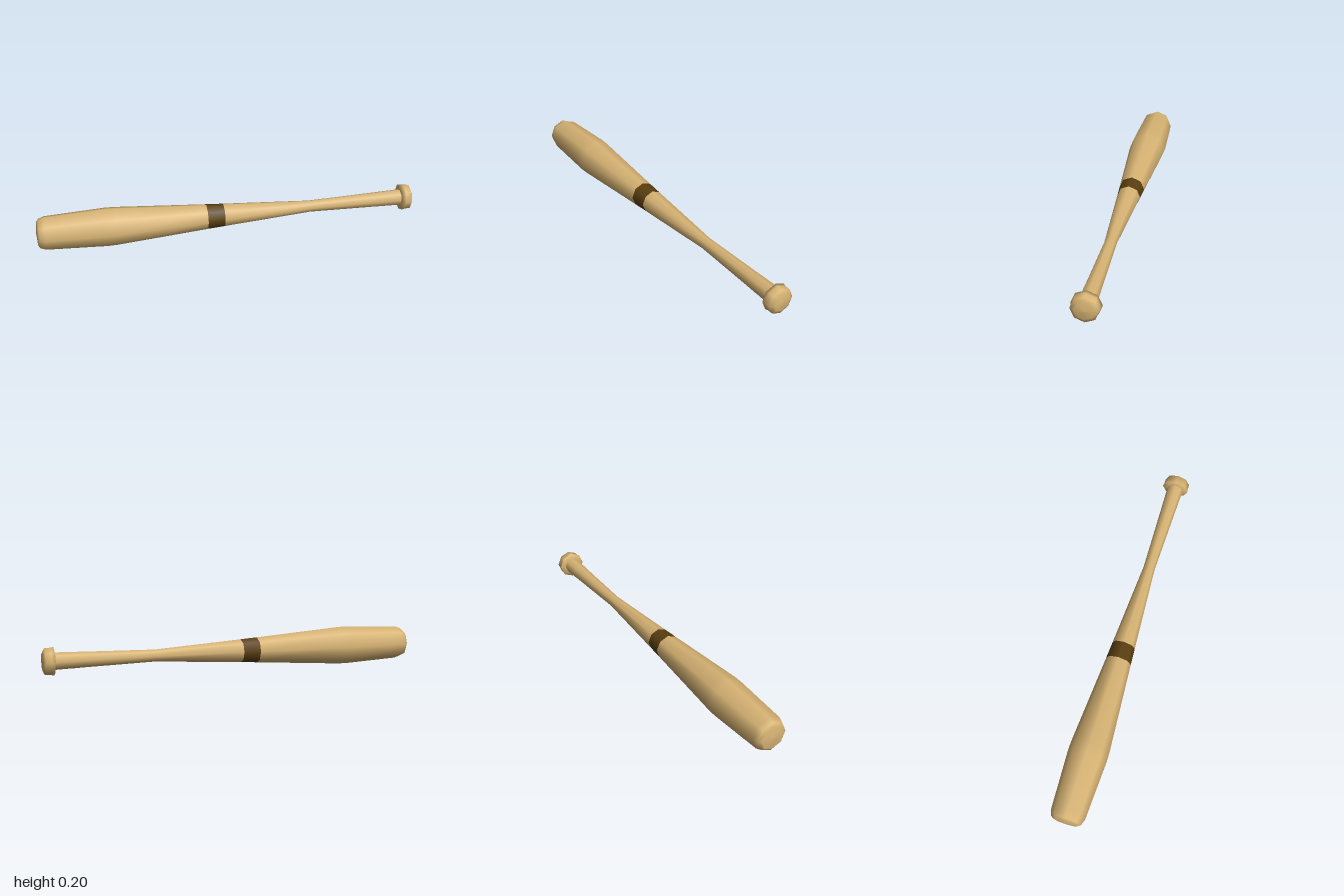
import * as THREE from 'three';

const SIDES = 8;
const AXIS_HEIGHT = 0.102;

const wood = new THREE.MeshStandardMaterial({ color: 0xd8b474 });
wood.name = 'pale wood';
const stain = new THREE.MeshStandardMaterial({ color: 0x5a3f10 });
stain.name = 'dark brown stain';

// Turns a profile of [x, radius] pairs, ordered by rising x, around the long axis
function turned(name, profile, material) {
  const points = profile.map(([x, r]) => new THREE.Vector2(r, x));
  const geometry = new THREE.LatheGeometry(points, SIDES);
  geometry.rotateZ(-Math.PI / 2);
  geometry.translate(0, AXIS_HEIGHT, 0);
  const mesh = new THREE.Mesh(geometry, material);
  mesh.name = name;
  return mesh;
}

export function createModel() {
  const group = new THREE.Group();
  group.name = 'baseballBat';

  // Thick end with its rounded tip, up to the band
  group.add(turned('barrel', [
    [-1, 0], [-0.995, 0.062], [-0.985, 0.077], [-0.955, 0.088],
    [-0.65, 0.102], [-0.6, 0.101], [-0.125, 0.067],
  ], wood));

  // Stained band
  group.add(turned('band', [[-0.125, 0.067], [-0.035, 0.061]], stain));

  // Taper to the narrow waist, then the slightly flared grip
  group.add(turned('handle', [
    [-0.035, 0.061], [0.43, 0.031], [0.81, 0.04], [0.945, 0.044],
  ], wood));

  // Fine collar on the grip
  group.add(turned('gripCollar', [[0.805, 0.04], [0.845, 0.0415]], wood));

  // Flared knob with a domed end
  group.add(turned('knob', [
    [0.935, 0.043], [0.94, 0.072], [0.955, 0.068], [0.985, 0.067],
    [0.995, 0.045], [1, 0],
  ], wood));

  return group;
}
